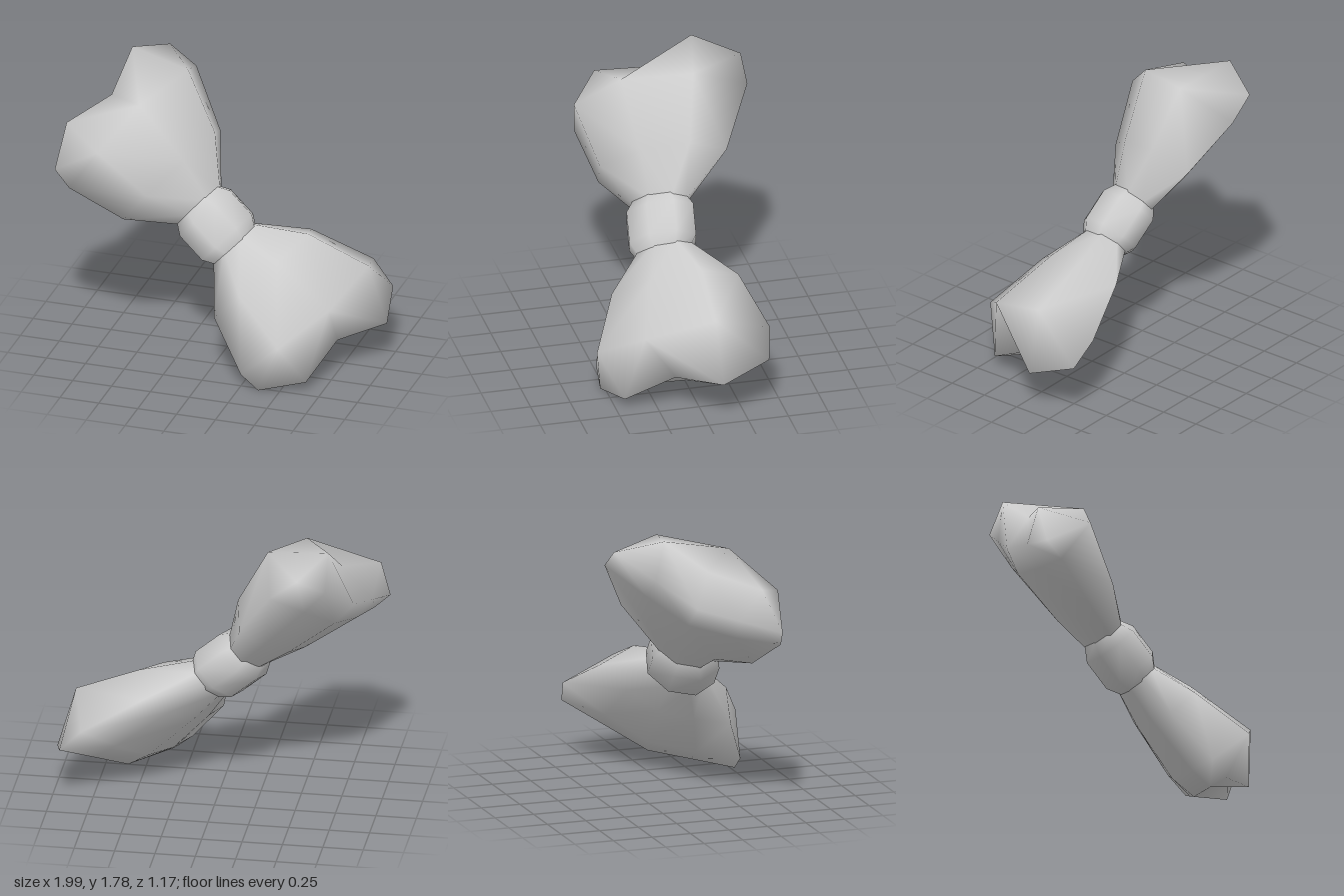
import * as THREE from 'three';
import { mergeVertices } from 'three/addons/utils/BufferGeometryUtils.js';

// Joins closed loops of [along, across, forward] points; side = -1 mirrors along the bow axis
function loft(rings, side = 1) {
  const n = rings[0].length;
  const pos = rings.flat().flatMap(([u, v, t]) => [u * side, v, t]);
  const index = [];
  const tri = (a, b, c) => {
    const p = [a, b, c].map((i) => rings[Math.floor(i / n)][i % n].join());
    if (new Set(p).size < 3) return; // skip collapsed corners
    index.push(...(side > 0 ? [a, b, c] : [a, c, b]));
  };
  for (let i = 0; i < rings.length - 1; i++) {
    for (let j = 0; j < n; j++) {
      const k = (j + 1) % n;
      const a = i * n + j, b = i * n + k, c = b + n, d = a + n;
      tri(a, b, c);
      tri(a, c, d);
    }
  }
  const g = new THREE.BufferGeometry();
  g.setAttribute('position', new THREE.Float32BufferAttribute(pos, 3));
  g.setIndex(index);
  const merged = mergeVertices(g, 1e-4);
  merged.computeVertexNormals();
  return merged;
}

// Octagonal loop around the bow axis
function oval(u, rv, rt, shift) {
  return Array.from({ length: 8 }, (_, i) => {
    const a = (i * Math.PI) / 4;
    return [u, rv * Math.cos(a) + shift, rt * Math.sin(a)];
  });
}

export function createModel() {
  const cloth = new THREE.MeshStandardMaterial({ color: 0xcccccc, side: THREE.DoubleSide });
  cloth.name = 'greyCloth';

  const model = new THREE.Group();
  model.name = 'bowTie';
  const bow = new THREE.Group();
  bow.name = 'tiltedBow';
  model.add(bow);

  // Corners of a loop's outer end
  const frontTop = [0.814, 0.42, 0.279], frontMid = [0.855, -0.02, 0.38], frontLow = [0.814, -0.4, 0.279];
  const tipTop = [1.15, 0.338, 0.076], notch = [1.02, 0.02, 0.08], tipLow = [1.08, -0.33, 0.09];

  // Flared loop: root, middle, widest part, back flap, notched rim, closed end
  const wing = [
    oval(0.14, 0.175, 0.13, -0.01),
    [[0.41, 0.446, -0.05], [0.42, 0.31, 0.18], [0.42, 0, 0.25], [0.42, -0.31, 0.18],
      [0.41, -0.433, -0.04], [0.41, -0.22, -0.12], [0.41, 0, -0.17], [0.41, 0.22, -0.125]],
    [[0.8, 0.622, -0.057], frontTop, frontMid, frontLow,
      [0.775, -0.56, -0.035], [0.78, -0.3, -0.125], [0.79, 0, -0.19], [0.8, 0.3, -0.135]],
    [[1.007, 0.594, -0.06], frontTop, frontMid, frontLow,
      [0.918, -0.547, -0.034], [0.938, -0.285, -0.094], [0.958, -0.02, -0.155], [0.983, 0.287, -0.107]],
    [tipTop, frontTop, frontMid, frontLow, tipLow, tipLow, notch, tipTop],
    Array(8).fill(frontMid),
  ];
  for (const [name, side] of [['leftLoop', 1], ['rightLoop', -1]]) {
    const mesh = new THREE.Mesh(loft(wing, side), cloth);
    mesh.name = name;
    bow.add(mesh);
  }

  // Rounded band in the middle
  const knot = new THREE.Mesh(loft([
    oval(-0.185, 0.175, 0.135, -0.02), oval(-0.1, 0.23, 0.185, -0.02),
    oval(0.1, 0.23, 0.185, -0.02), oval(0.185, 0.175, 0.135, -0.02),
  ]), cloth);
  knot.name = 'knot';
  bow.add(knot);

  // Tilt: bow axis, width and facing directions
  const axis = new THREE.Vector3(0.744, -0.661, 0.097).normalize();
  const facing = axis.clone().cross(new THREE.Vector3(0.446, 0.391, -0.801)).normalize();
  const across = facing.clone().cross(axis);
  bow.quaternion.setFromRotationMatrix(new THREE.Matrix4().makeBasis(axis, across, facing));
  bow.position.set(-0.05, 0.85, 0.02);
  return model;
}
